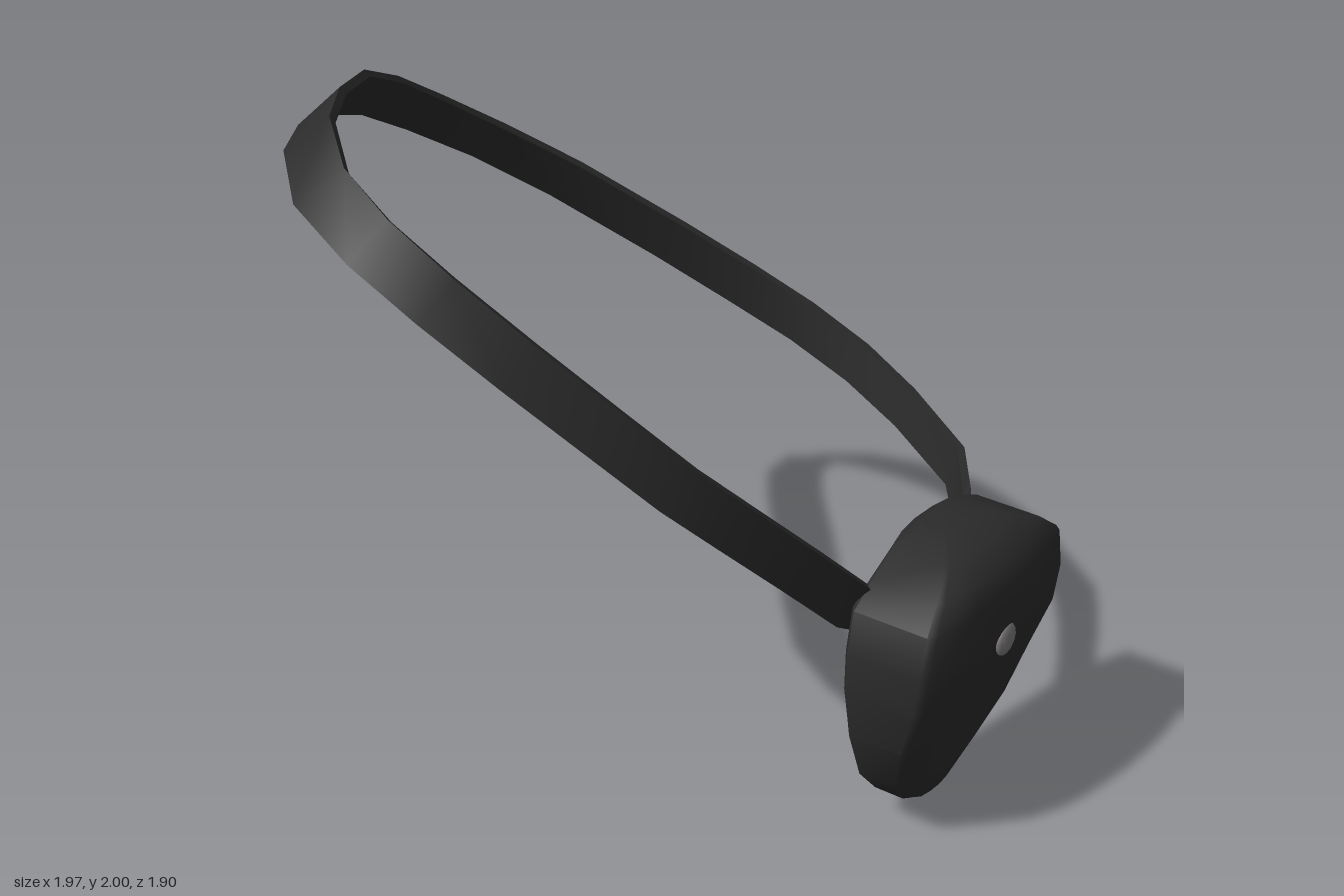
import * as THREE from 'three';
import { toCreasedNormals } from 'three/addons/utils/BufferGeometryUtils.js';

const V = (x, y, z) => new THREE.Vector3(x, y, z);

// Skin a list of equal-length rings into a closed solid
function loft(rings, crease) {
  const n = rings[0].length, index = [], last = (rings.length - 1) * n;
  for (let i = 0; i < rings.length - 1; i++) {
    for (let j = 0; j < n; j++) {
      const a = i * n + j, b = i * n + (j + 1) % n, c = a + n, d = b + n;
      index.push(a, c, b, b, c, d);
    }
  }
  for (let j = 1; j < n - 1; j++) {
    index.push(0, j, j + 1, last, last + j + 1, last + j);
  }
  const g = new THREE.BufferGeometry().setFromPoints(rings.flat());
  g.setIndex(index);
  return toCreasedNormals(g, crease);
}

// Flat band following a loop, with its width direction changing along the way
function strapGeometry() {
  const path = [
    [0.37, 0.64, 0.61], [0.28, 0.72, 0.69], [0.1, 0.9, 0.73], [-0.1, 1.09, 0.745],
    [-0.25, 1.23, 0.74], [-0.42, 1.4, 0.69], [-0.6, 1.575, 0.6], [-0.76, 1.73, 0.48],
    [-0.87, 1.84, 0.34], [-0.92, 1.91, 0.15], [-0.87, 1.945, -0.08], [-0.78, 1.935, -0.25],
    [-0.63, 1.86, -0.5], [-0.48, 1.755, -0.68], [-0.3, 1.615, -0.83], [-0.08, 1.46, -0.905],
    [0.15, 1.3, -0.9], [0.45, 1.08, -0.82], [0.65, 0.93, -0.74], [0.8, 0.82, -0.63],
    [0.9, 0.74, -0.46], [0.96, 0.67, -0.27], [0.96, 0.63, 0.03], [0.89, 0.6, 0.2],
    [0.78, 0.57, 0.39], [0.71, 0.56, 0.445],
  ].map(p => V(...p));
  // path index, then the vector from lower to upper edge
  const widths = [
    [0, 0.09, 0.1, 0.03], [5, 0.09, 0.1, 0.03], [9, 0.125, 0.08, 0.02], [12, 0.09, 0.11, 0.05],
    [15, 0.075, 0.1, 0.085], [18, 0.055, 0.12, 0.07], [21, 0.025, 0.13, 0.02], [25, 0, 0.135, 0],
  ];
  const rings = path.map((p, i) => {
    const k = Math.max(1, widths.findIndex(w => w[0] >= i));
    const [i0, ...w0] = widths[k - 1], [i1, ...w1] = widths[k];
    const t = path[Math.min(i + 1, path.length - 1)].clone()
      .sub(path[Math.max(i - 1, 0)]).normalize();
    const w = V(...w0).lerp(V(...w1), (i - i0) / (i1 - i0)).multiplyScalar(0.5);
    w.addScaledVector(t, -w.dot(t));
    const n = w.clone().cross(t).setLength(0.012);
    return [[-1, -1], [1, -1], [1, 1], [-1, 1]].map(([a, b]) =>
      p.clone().addScaledVector(w, a).addScaledVector(n, b));
  });
  return loft(rings, 0.9);
}

// Thick shield-shaped pad, tapering to a point at the bottom
function padGeometry() {
  // height, width, depth, depth offset
  const sections = [
    [0, 0.06, 0.04, -0.07], [0.03, 0.17, 0.08, -0.068], [0.1, 0.4, 0.1, -0.06],
    [0.2, 0.58, 0.13, -0.045], [0.35, 0.68, 0.18, -0.03], [0.5, 0.73, 0.235, -0.008],
    [0.62, 0.73, 0.25, 0], [0.74, 0.68, 0.25, 0], [0.8, 0.53, 0.22, -0.005],
    [0.845, 0.32, 0.17, -0.03], [0.868, 0.12, 0.08, -0.05],
  ];
  const outline = [
    [-0.96, -1], [-0.5, -1.2], [0, -1.27], [0.5, -1.2], [0.96, -1], [1, -0.9],
    [1, 0.85], [0.95, 1], [0.5, 1.2], [0, 1.27], [-0.5, 1.2], [-0.95, 1],
    [-1, 0.85], [-1, -0.9],
  ];
  return loft(sections.map(([y, w, d, off]) =>
    outline.map(([x, z]) => V(x * w / 2, y, z * d / 2 + off))), 0.85);
}

export function createModel() {
  const black = new THREE.MeshStandardMaterial({ color: 0x2b2b2b });
  black.name = 'black leather';
  const grey = new THREE.MeshStandardMaterial({ color: 0x7d7a7a });
  grey.name = 'grey metal';

  const model = new THREE.Group();
  model.name = 'eyePatch';
  const add = (parent, name, geometry, material) => {
    const mesh = new THREE.Mesh(geometry, material);
    mesh.name = name;
    parent.add(mesh);
    return mesh;
  };

  add(model, 'strap', strapGeometry(), black);

  // Pad and stud are turned to the model's left
  const patch = new THREE.Group();
  patch.name = 'patch';
  patch.position.set(0.605, 0, 0.66);
  patch.rotation.y = Math.PI / 6;
  model.add(patch);
  add(patch, 'pad', padGeometry(), black);

  const stud = add(patch, 'stud', new THREE.SphereGeometry(0.048, 10, 8), grey);
  stud.scale.z = 0.35;
  stud.position.set(0, 0.575, 0.152);
  return model;
}
